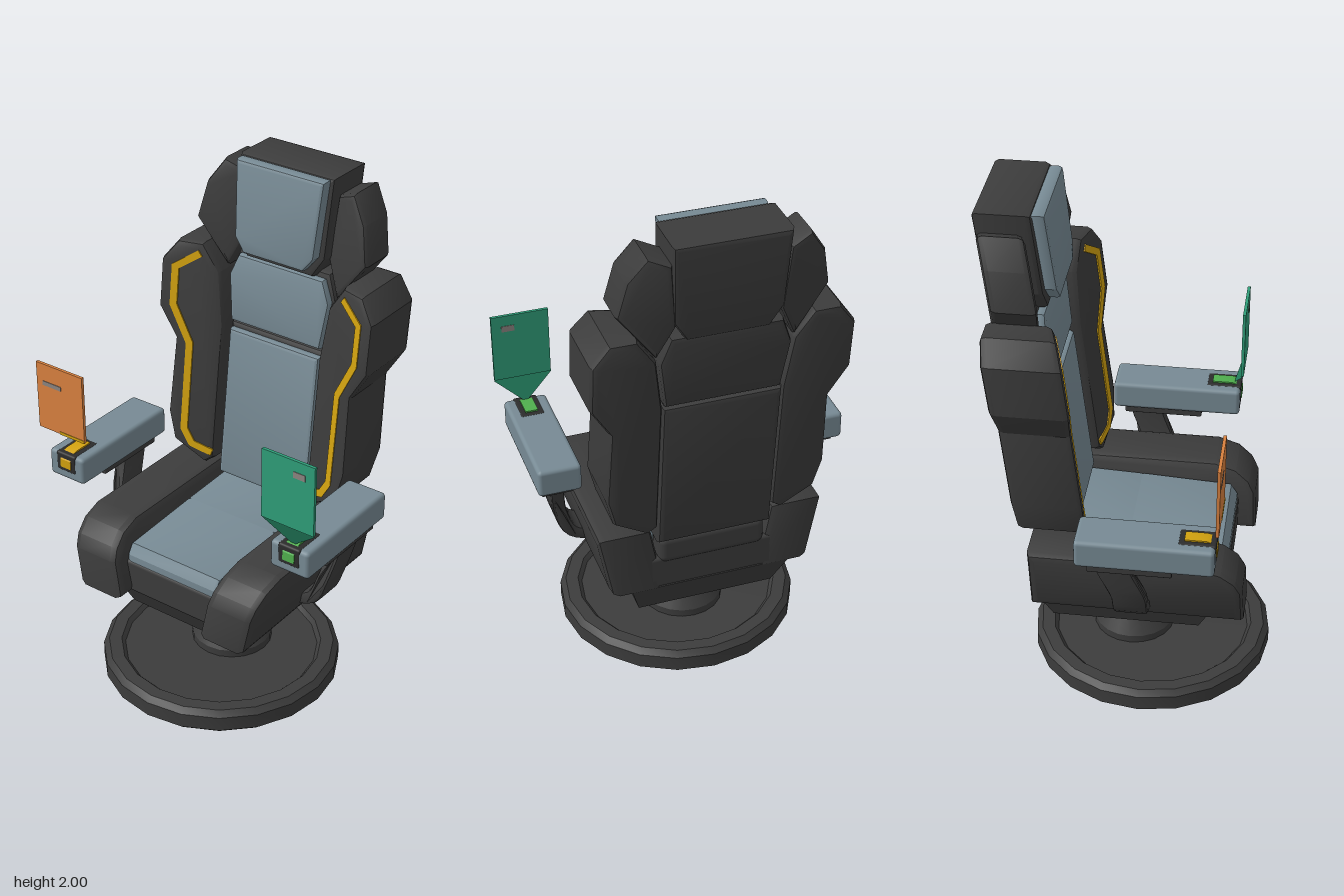
import * as THREE from 'three';
import { toCreasedNormals } from 'three/addons/utils/BufferGeometryUtils.js';
import { RoundedBoxGeometry } from 'three/addons/geometries/RoundedBoxGeometry.js';

const LEAN = -0.115; // backward slope of the whole backrest

function material(name, color, side = THREE.FrontSide) {
  const m = new THREE.MeshStandardMaterial({ color, side });
  m.name = name;
  return m;
}

// Bevelled slab from an outline; z runs 0..depth, then each vertex is moved by warp(v).
function slab(points, depth, bevel, warp) {
  const shape = new THREE.Shape(points.map(([x, y]) => new THREE.Vector2(x, y)));
  const g = new THREE.ExtrudeGeometry(shape, bevel
    ? { depth: depth - 2 * bevel, bevelThickness: bevel, bevelSize: bevel, bevelOffset: -bevel, bevelSegments: 2 }
    : { depth, bevelEnabled: false });
  g.translate(0, 0, bevel);
  const p = g.attributes.position, v = new THREE.Vector3();
  for (let i = 0; i < p.count; i++) {
    warp(v.fromBufferAttribute(p, i));
    p.setXYZ(i, v.x, v.y, v.z);
  }
  g.computeVertexNormals();
  return toCreasedNormals(g, 0.5);
}

// Outline of a constant-width band that follows a path, with mitred corners.
function band(path, width) {
  const left = [], right = [];
  path.forEach(([x, y], i) => {
    const a = path[Math.max(i - 1, 0)], b = path[Math.min(i + 1, path.length - 1)];
    const d1 = new THREE.Vector2(x - a[0], y - a[1]).normalize();
    const d2 = new THREE.Vector2(b[0] - x, b[1] - y).normalize();
    const d = d1.clone().add(d2).normalize();
    const ref = i ? d1 : d2;
    const h = width / 2 / d.dot(ref);
    left.push([x - d.y * h, y + d.x * h]);
    right.unshift([x + d.y * h, y - d.x * h]);
  });
  return [...left, ...right];
}

const mirror = (points, s) => points.map(([x, y]) => [x * s, y]);
const symmetric = half => [...half, ...mirror(half, -1).reverse()];

export function createModel() {
  const group = new THREE.Group();
  group.name = 'commandChair';
  const dark = material('charcoal', 0x3c3c3c);
  const trim = material('blackTrim', 0x2c2c2c);
  const steel = material('blueGrey', 0x778a94);
  const yellow = material('yellow', 0xd2a20f);
  const green = material('green', 0x50b04e);
  const teal = material('tealScreen', 0x2f9e79);
  const beamTeal = material('tealBeam', 0x23805f, THREE.DoubleSide);
  const orange = material('orangeScreen', 0xd9813f);
  const grey = material('screenGrey', 0x8c8480);

  const add = (name, geometry, mat, x = 0, y = 0, z = 0) => {
    const m = new THREE.Mesh(geometry, mat);
    m.name = name;
    m.position.set(x - 0.008, y, z);
    group.add(m);
    return m;
  };
  const box = (w, h, d, r = 0.015) => new RoundedBoxGeometry(w, h, d, 2, r);

  // Swivel base
  const disc = [[0, 0], [0.45, 0], [0.472, 0.02], [0.472, 0.08], [0.45, 0.102], [0.4, 0.102], [0.385, 0.085], [0, 0.085]];
  add('baseDisc', toCreasedNormals(new THREE.LatheGeometry(disc.map(p => new THREE.Vector2(...p)), 20), 0.5), dark, 0, 0, 0.073);
  const stem = [[0.16, 0.08], [0.16, 0.115], [0.095, 0.22], [0.078, 0.225], [0.078, 0.31]];
  add('pedestal', toCreasedNormals(new THREE.LatheGeometry(stem.map(p => new THREE.Vector2(...p)), 20), 0.5), dark);

  // Tapered pan under the seat
  const pan = new THREE.BoxGeometry(0.63, 0.14, 0.7);
  const pp = pan.attributes.position;
  for (let i = 0; i < pp.count; i++) if (pp.getY(i) < 0) pp.setXYZ(i, pp.getX(i) * 0.86, pp.getY(i), pp.getZ(i) * 0.81);
  pan.computeVertexNormals();
  add('seatPan', pan, dark, 0, 0.368, 0);

  // Seat core and cushions
  add('seatCore', box(0.5, 0.14, 0.74), dark, 0, 0.505, 0.02);
  const sideways = x0 => v => v.set(x0 - v.z, v.y, v.x);
  add('frontCushion', slab([[0.005, 0.55], [0.385, 0.55], [0.385, 0.6], [0.36, 0.64], [0.005, 0.66]], 0.425, 0.015, sideways(0.2125)), steel);
  add('rearCushion', slab([[-0.24, 0.55], [0.005, 0.55], [0.005, 0.66], [-0.24, 0.67]], 0.425, 0.015, sideways(0.2125)), steel);
  add('lowerBackStrap', box(0.42, 0.12, 0.11, 0.03), dark, 0, 0.61, -0.305);

  // Seat side bolsters, leaning outward
  const bolster = [[-0.35, 0.435], [0.462, 0.435], [0.455, 0.59], [0.43, 0.64], [0.375, 0.685], [0.29, 0.71], [-0.35, 0.71]];
  for (const s of [1, -1]) {
    add('seatBolster', slab(bolster, 0.21, 0.03, v => {
      const x = s * 0.29 + 0.105 - v.z + s * 0.19 * (v.y - 0.44);
      v.set(x, v.y, v.x);
    }), dark);
  }

  // Centre backrest: dark shells with inset pads
  const leaned = z0 => v => { v.z += z0 + LEAN * v.y; };
  const lowerHalf = [[0.222, 0.67], [0.222, 1.32]];
  const upperHalf = [[0.215, 1.325], [0.242, 1.52], [0.205, 1.625]];
  const headHalf = [[0.15, 1.61], [0.2, 1.69], [0.212, 2.0]];
  const lowerPad = [[0.208, 0.685], [0.208, 1.3]];
  const upperPad = [[0.205, 1.335], [0.228, 1.52], [0.193, 1.605]];
  const headPad = [[0.135, 1.645], [0.178, 1.7], [0.196, 1.995]];
  [['lowerBack', lowerHalf, lowerPad, -0.305, 0.165, 0.03],
    ['upperBack', upperHalf, upperPad, -0.305, 0.165, 0.03],
    ['headrest', headHalf, headPad, -0.312, 0.212, 0.045]].forEach(([name, shell, pad, z, d, t]) => {
    add(name + 'Shell', slab(symmetric(shell), d, 0.02, leaned(z)), dark);
    add(name + 'Pad', slab(symmetric(pad), t + 0.01, 0.014, leaned(z + d - 0.01)), steel);
  });

  // Back wings, their stripes and the head wings
  const wing = [[0.32, 1.635], [0.42, 1.635], [0.483, 1.55], [0.483, 1.355], [0.41, 1.235], [0.42, 0.92],
    [0.39, 0.8], [0.26, 0.722], [0.222, 0.75], [0.222, 1.315], [0.25, 1.53]];
  const stripe = [[0.325, 1.595], [0.418, 1.53], [0.418, 1.375], [0.345, 1.225], [0.345, 0.86], [0.31, 0.8], [0.228, 0.775]];
  const headWing = [[0.29, 1.958], [0.208, 1.925], [0.188, 1.675], [0.25, 1.54], [0.385, 1.715], [0.355, 1.86]];
  const depth = 0.27;
  const wingWarp = start => v => {
    const d = v.z + start;
    v.z = -0.3 + LEAN * v.y + d + 0.3 * (Math.abs(v.x) - 0.4) * d / depth;
  };
  for (const s of [1, -1]) {
    add('backWing', slab(mirror(wing, s), depth, 0.025, wingWarp(0)), dark);
    add('wingStripe', slab(mirror(band(stripe, 0.028), s), 0.008, 0, wingWarp(depth - 0.003)), yellow);
    add('headWing', slab(mirror(headWing, s), 0.17, 0.022, v => {
      v.z += -0.31 + LEAN * v.y + 0.3 * (Math.abs(v.x) - 0.2);
    }), dark);
  }

  // Armrests with curved struts, controls and screens
  const curve = new THREE.CatmullRomCurve3([[0.52, 0.79], [0.513, 0.72], [0.495, 0.62], [0.455, 0.525], [0.39, 0.493], [0.33, 0.49]]
    .map(([x, y]) => new THREE.Vector3(x, y, 0)));
  const strut = band(curve.getPoints(16).map(p => [p.x, p.y]), 0.052);
  const control = [[0.25, 0.86], [0.369, 0.86], [0.369, 0.895], [0.355, 0.918], [0.33, 0.928], [0.25, 0.928]];
  for (const s of [1, -1]) {
    const x = s * 0.522, accent = s > 0 ? green : yellow;
    add('armrest', box(0.168, 0.112, 0.508, 0.016), steel, x, 0.864, 0.11);
    add('armrestPlate', box(0.124, 0.04, 0.31, 0.006), dark, x, 0.794, 0.055);
    add('armStrut', slab(mirror(strut, s), 0.13, 0.012, v => {
      v.z += -0.02 - 0.065 * THREE.MathUtils.smoothstep(v.y, 0.58, 0.8);
    }), dark);
    add('controlHousing', box(0.094, 0.08, 0.138, 0.008), trim, x, 0.882, 0.297);
    add('controlRoller', slab(control, 0.05, 0, sideways(x + 0.025)), accent);
    add('screen', new THREE.BoxGeometry(0.224, 0.28, 0.012), s > 0 ? teal : orange, x, 1.156, 0.373);
  }

  // Small screen details on both faces
  for (const z of [0.366, 0.38]) {
    add('screenMark', new THREE.BoxGeometry(0.05, 0.025, 0.002), grey, 0.57, 1.24, z);
    add('screenMark', new THREE.BoxGeometry(0.09, 0.018, 0.002), grey, -0.56, 1.215, z);
  }
  add('screenEdge', new THREE.BoxGeometry(0.12, 0.012, 0.004), yellow, -0.47, 1.021, 0.379);

  // Flat light beam below the teal screen
  const beam = new THREE.BufferGeometry();
  beam.setAttribute('position', new THREE.Float32BufferAttribute(
    [-0.115, 1.012, 0.373, 0, 0.915, 0.335, 0.115, 1.012, 0.373], 3));
  beam.computeVertexNormals();
  add('screenBeam', beam, beamTeal, 0.522);

  return group;
}
